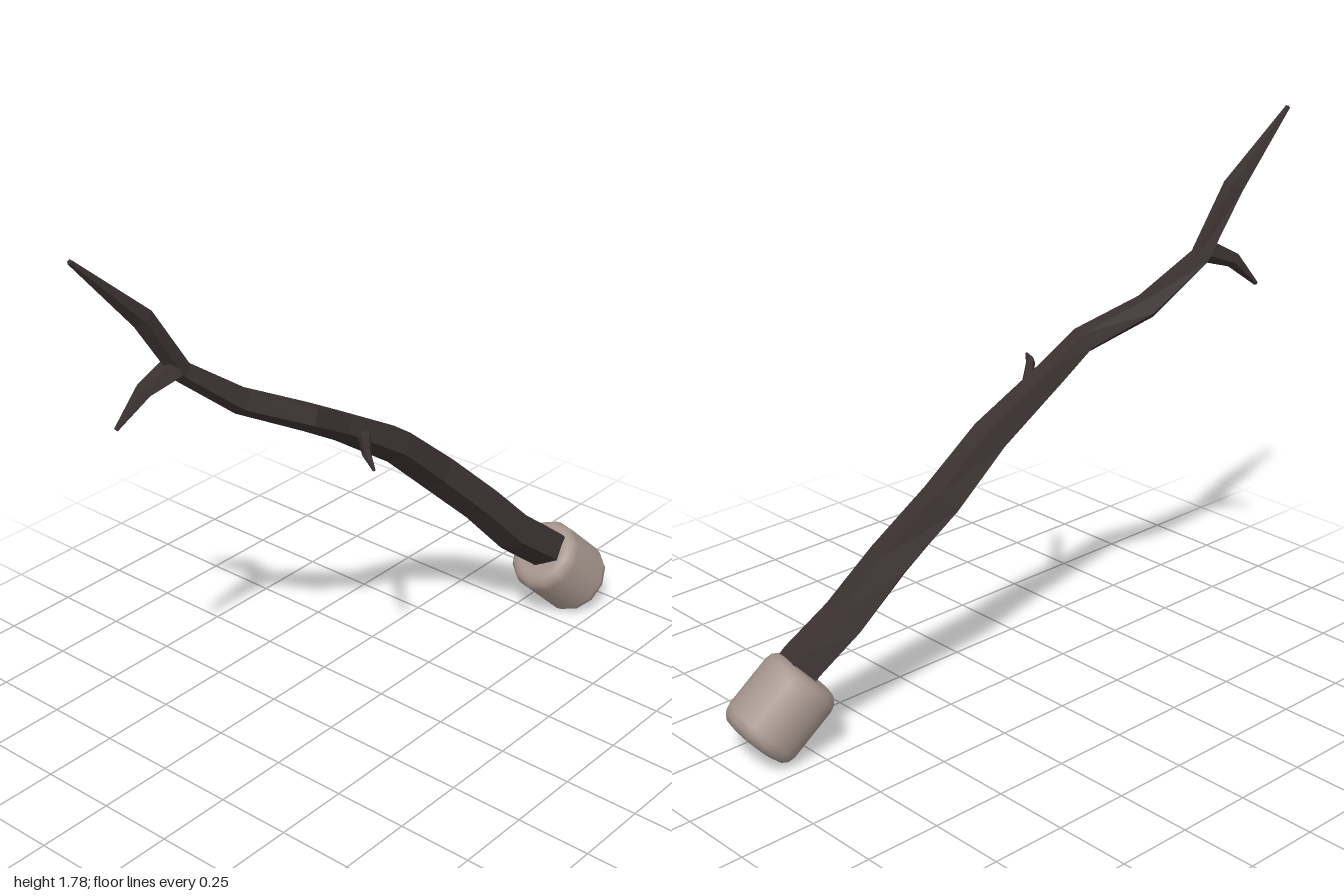
import * as THREE from 'three';

const SIDES = 5;

// Faceted limb: pentagon rings, flat side up, swept along [x, y, z, radius] stations
function limbGeometry(stations) {
  const centres = stations.map(([x, y, z]) => new THREE.Vector3(x, y, z));
  const last = centres.length - 1;
  const up = new THREE.Vector3(0, 1, 0);
  const positions = [];
  const index = [];

  centres.forEach((c, i) => {
    const t = new THREE.Vector3();
    if (i > 0) t.add(c.clone().sub(centres[i - 1]).normalize());
    if (i < last) t.add(centres[i + 1].clone().sub(c).normalize());
    t.normalize();
    const side = up.clone().cross(t).normalize();
    const top = t.clone().cross(side);
    for (let j = 0; j < SIDES; j++) {
      const a = -Math.PI / 2 + (j / SIDES) * Math.PI * 2;
      const p = c.clone()
        .addScaledVector(side, Math.cos(a) * stations[i][3])
        .addScaledVector(top, Math.sin(a) * stations[i][3]);
      positions.push(p.x, p.y, p.z);
    }
  });

  for (let i = 0; i < last; i++) {
    for (let j = 0; j < SIDES; j++) {
      const k = (j + 1) % SIDES;
      const a = i * SIDES + j, b = i * SIDES + k;
      index.push(a, b, b + SIDES, a, b + SIDES, a + SIDES);
    }
  }
  // end caps
  const end = last * SIDES;
  for (let j = 1; j < SIDES - 1; j++) {
    index.push(0, j + 1, j, end, end + j, end + j + 1);
  }

  const indexed = new THREE.BufferGeometry();
  indexed.setAttribute('position', new THREE.Float32BufferAttribute(positions, 3));
  indexed.setIndex(index);
  const geometry = indexed.toNonIndexed(); // separate faces give flat facets
  geometry.computeVertexNormals();
  return geometry;
}

export function createModel() {
  const group = new THREE.Group();
  group.name = 'branchWand';
  const bark = new THREE.MeshStandardMaterial({ color: 0x3b3131 });
  bark.name = 'dark bark';
  const pale = new THREE.MeshStandardMaterial({ color: 0xa5958d });
  pale.name = 'pale taupe';

  const limbs = {
    // main crooked stem, from the handle to the pointed tip
    stem: [
      [0.115, 0.26, -0.77, 0.076],
      [0.11, 0.29, -0.74, 0.076],
      [0.08, 0.4, -0.6, 0.075],
      [0.04, 0.56, -0.455, 0.071],
      [-0.012, 0.725, -0.285, 0.069],
      [-0.025, 0.885, -0.1, 0.062],
      [-0.045, 1.035, 0.14, 0.049],
      [-0.047, 1.115, 0.28, 0.046],
      [-0.14, 1.207, 0.465, 0.043],
      [-0.203, 1.347, 0.64, 0.034],
      [-0.217, 1.552, 0.77, 0.035],
      [-0.238, 1.778, 0.995, 0.008],
    ],
    // thin twig out of the left side
    sideTwig: [
      [-0.03, 0.98, 0.06, 0.026],
      [0.02, 0.995, 0.1, 0.02],
      [0.12, 1.02, 0.21, 0.015],
      [0.195, 1.012, 0.265, 0.005],
    ],
    // drooping thorn below the fork
    forkTwig: [
      [-0.205, 1.365, 0.665, 0.04],
      [-0.228, 1.32, 0.765, 0.027],
      [-0.252, 1.225, 0.858, 0.007],
    ],
  };
  for (const [name, stations] of Object.entries(limbs)) {
    const mesh = new THREE.Mesh(limbGeometry(stations), bark);
    mesh.name = name;
    group.add(mesh);
  }

  // rounded, smooth handle block at the foot
  const profile = [
    [0, -0.13], [0.085, -0.13], [0.108, -0.124], [0.124, -0.108], [0.13, -0.085],
    [0.13, 0.085], [0.124, 0.108], [0.108, 0.124], [0.085, 0.13], [0, 0.13],
  ].map(([x, y]) => new THREE.Vector2(x, y));
  const handle = new THREE.Mesh(new THREE.LatheGeometry(profile, 12), pale);
  handle.name = 'handle';
  handle.position.set(0.117, 0.169, -0.83);
  handle.quaternion.setFromUnitVectors(
    new THREE.Vector3(0, 1, 0),
    new THREE.Vector3(-0.16, 0.69, 0.7).normalize(),
  );
  group.add(handle);

  return group;
}
